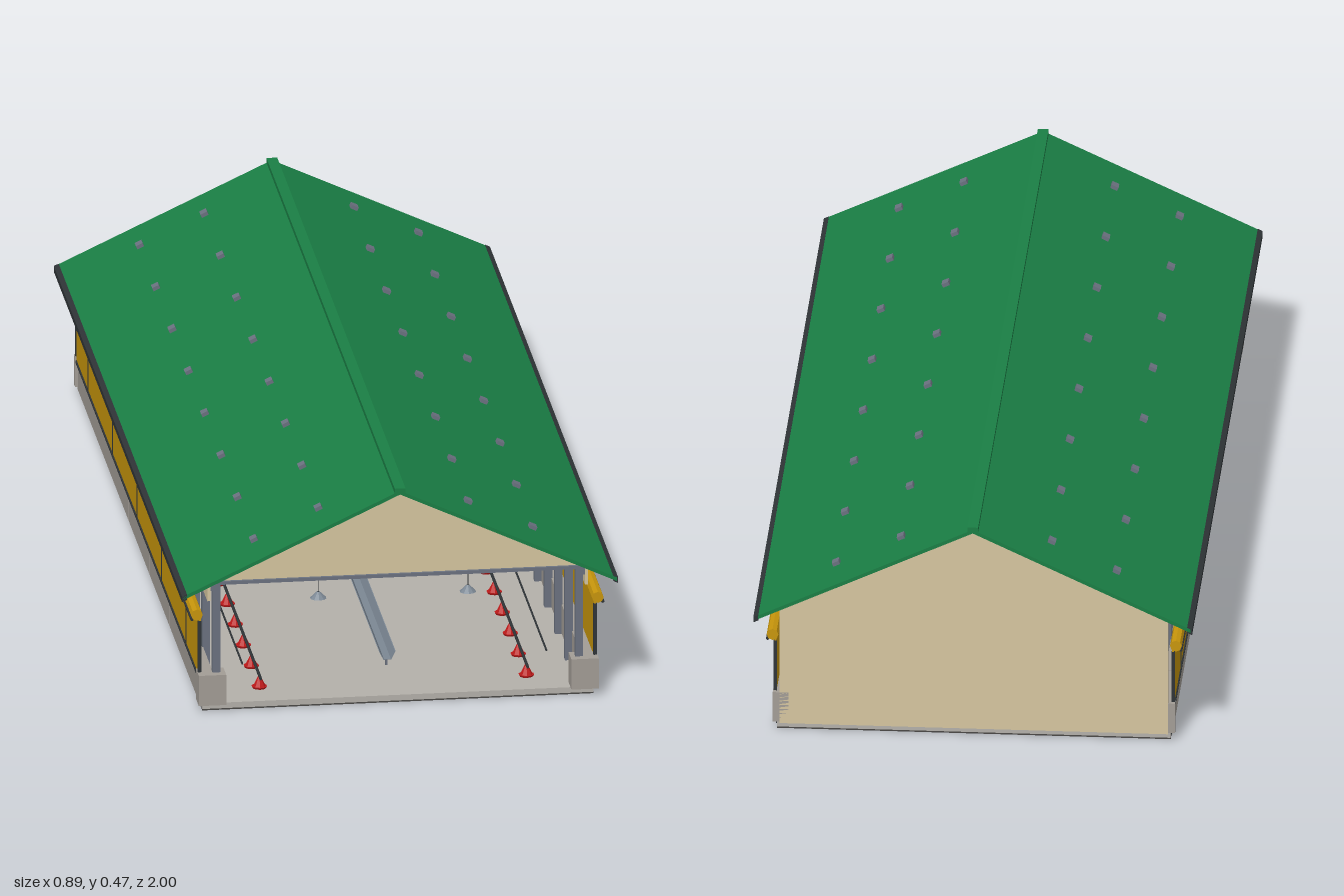
import * as THREE from 'three';

const mat = (color, side = THREE.FrontSide) => new THREE.MeshStandardMaterial({ color, side, flatShading: true });
const M = {
  roof: mat(0x1a7f45), curtain: mat(0xc8960c), panel: mat(0xd6c6a0), concrete: mat(0xa39d96),
  floor: mat(0xb4b0aa), base: mat(0x4a4846), steel: mat(0x6b7280), dark: mat(0x2f3437), red: mat(0xc01a1a),
  lamp: mat(0x7c8894, THREE.DoubleSide), trough: mat(0x7c8894, THREE.DoubleSide),
};

export function createModel() {
  const root = new THREE.Group();
  root.name = 'barn';

  const add = (name, geo, m, parent = root) => {
    const mesh = new THREE.Mesh(geo, m);
    mesh.name = name;
    parent.add(mesh);
    return mesh;
  };
  // box given by its limits
  const box = (name, x0, x1, y0, y1, z0, z1, m, parent) => {
    const mesh = add(name, new THREE.BoxGeometry(x1 - x0, y1 - y0, z1 - z0), m, parent);
    mesh.position.set((x0 + x1) / 2, (y0 + y1) / 2, (z0 + z1) / 2);
    return mesh;
  };
  // closed profile in x, y pushed from z0 to z1
  const prism = (name, pts, z0, z1, m, parent) => {
    const shape = new THREE.Shape(pts.map(p => new THREE.Vector2(...p)));
    const geo = new THREE.ExtrudeGeometry(shape, { depth: z1 - z0, bevelEnabled: false });
    geo.translate(0, 0, z0);
    return add(name, geo, m, parent);
  };
  // rod along z
  const rod = (name, x, y, r, z0, z1, m, sides = 8, parent = root) => {
    const mesh = add(name, new THREE.CylinderGeometry(r, r, z1 - z0, sides), m, parent);
    mesh.rotation.x = Math.PI / 2;
    mesh.position.set(x, y, (z0 + z1) / 2);
    return mesh;
  };
  const group = name => {
    const g = new THREE.Group();
    g.name = name;
    root.add(g);
    return g;
  };
  const slope = 0.467;
  const roofY = x => 0.467 - slope * Math.abs(x);

  // floor slab
  box('floorSlab', -0.4, 0.4, 0.003, 0.015, -0.965, 0.965, M.floor);
  box('slabBase', -0.4, 0.4, 0, 0.003, -0.965, 0.965, M.base);

  // gable walls
  prism('backWall', [[-0.395, 0.012], [0.395, 0.012], [0.395, 0.268], [0, 0.45], [-0.395, 0.268]], -0.968, -0.955, M.panel);
  prism('frontGable', [[-0.375, 0.273], [0.375, 0.273], [0, 0.448]], 0.945, 0.957, M.panel);

  // steel frames: posts, chord and rafters
  const frames = group('frames');
  for (let i = 0; i < 13; i++) {
    const z = 0.955 - i * 0.159, a = z - 0.008, b = z + 0.008;
    for (const s of [-1, 1]) {
      box('post', s * 0.371 - 0.008, s * 0.371 + 0.008, 0.015, 0.272, a, b, M.steel, frames);
      const pts = [[0, 0.456], [s * 0.385, 0.276], [s * 0.385, 0.269], [0, 0.448]];
      prism('rafter', pts, a, b, M.steel, frames);
    }
    box('bottomChord', -0.383, 0.383, 0.268, 0.275, a, b, M.steel, frames);
  }

  for (const s of [-1, 1]) {
    const side = group(s > 0 ? 'leftSide' : 'rightSide');
    const sbox = (name, x0, x1, y0, y1, z0, z1, m) =>
      box(name, Math.min(s * x0, s * x1), Math.max(s * x0, s * x1), y0, y1, z0, z1, m, side);

    // low concrete wall in panels, with a pier at the front
    for (let i = 0; i < 12; i++) {
      const z = 0.96 - i * 0.16;
      sbox('wallPanel', 0.377, 0.403, 0.008, 0.078, z - 0.1585, z, M.concrete);
    }
    sbox('wallJoints', 0.38, 0.4025, 0.008, 0.077, -0.96, 0.96, M.dark);
    sbox('frontPier', 0.353, 0.409, 0.015, 0.08, 0.935, 0.98, M.concrete);
    sbox('backPier', 0.377, 0.409, 0.015, 0.08, -0.968, -0.95, M.concrete);

    // panel under the eave
    sbox('eavePanel', 0.383, 0.389, 0.233, 0.272, -0.96, 0.96, M.panel);
    sbox('eaveBeam', 0.374, 0.384, 0.255, 0.277, -0.96, 0.96, M.steel);

    // roll-up curtain, its roller and straps
    sbox('curtain', 0.402, 0.406, 0.07, 0.205, -0.957, 0.957, M.curtain);
    rod('curtainRoller', s * 0.41, 0.203, 0.012, -0.957, 0.957, M.curtain, 8, side);
    rod('bottomRod', s * 0.405, 0.07, 0.004, -0.957, 0.957, M.dark, 6, side);
    rod('topRod', s * 0.42, 0.194, 0.0035, -0.957, 0.957, M.dark, 6, side);
    for (let i = -2; i <= 2; i++) {
      const z = i * 0.382;
      sbox('strap', 0.405, 0.4075, 0.07, 0.2, z - 0.0025, z + 0.0025, M.dark);
      sbox('rollerBracket', 0.396, 0.424, 0.19, 0.217, z - 0.005, z + 0.005, M.dark);
    }
    for (const z of [-0.955, 0.955])
      sbox('curtainEnd', 0.401, 0.408, 0.075, 0.19, z - 0.003, z + 0.003, M.dark);

    // roof sheet with trim and purlins
    const sheet = (name, x0, x1, top, bottom, z0, z1, m) => prism(name, [
      [s * x0, roofY(x0) + top], [s * x1, roofY(x1) + top],
      [s * x1, roofY(x1) + bottom], [s * x0, roofY(x0) + bottom],
    ], z0, z1, m, side);
    sheet('roofSheet', 0, 0.443, 0, -0.008, -1, 1, M.roof);
    sheet('eaveTrim', 0.436, 0.446, 0.001, -0.011, -1, 1, M.dark);
    for (const x of [0.02, 0.1, 0.18, 0.26, 0.34, 0.39])
      sheet('purlin', x, x + 0.012, -0.007, -0.014, -0.96, 0.96, M.steel);

    // small roof vents
    for (let i = 0; i < 8; i++) {
      for (const x of [0.153, 0.285]) {
        const vent = add('roofVent', new THREE.BoxGeometry(0.015, 0.01, 0.02), M.steel, side);
        vent.position.set(s * x, roofY(x) + 0.003, -0.889 + i * 0.254);
        vent.rotation.z = -s * Math.atan(slope);
      }
    }

    // feeder line with red cones
    rod('feedPipe', s * 0.273, 0.042, 0.003, -0.93, 0.91, M.dark, 6, side);
    for (let i = 0; i < 15; i++) {
      const z = 0.885 - i * 0.125;
      const cone = add('feederCone', new THREE.CylinderGeometry(0.003, 0.014, 0.022, 8), M.red, side);
      cone.position.set(s * 0.273, 0.028, z);
      const pan = add('feederPan', new THREE.CylinderGeometry(0.016, 0.014, 0.004, 10), M.red, side);
      pan.position.set(s * 0.273, 0.017, z);
    }
    rod('waterPipe', s * 0.311, 0.077, 0.002, -0.93, 0.91, M.dark, 6, side);

    // hanging lamps
    for (let i = 0; i < 8; i++) {
      const z = 0.889 - i * 0.254;
      const cord = add('lampCord', new THREE.CylinderGeometry(0.001, 0.001, 0.055, 5), M.dark, side);
      cord.position.set(s * 0.153, 0.243, z);
      const shade = add('lampShade', new THREE.CylinderGeometry(0.003, 0.017, 0.014, 10, 1, true), M.lamp, side);
      shade.position.set(s * 0.153, 0.211, z);
      const bulb = add('lampBulb', new THREE.SphereGeometry(0.004, 6, 4), M.panel, side);
      bulb.position.set(s * 0.153, 0.205, z);
    }
  }

  // ridge cap
  prism('ridgeCap', [[-0.011, 0.459], [0.011, 0.459], [0.011, 0.472], [-0.011, 0.472]], -1, 1, M.roof);

  // central trough on short legs
  const trough = group('trough');
  const t = [[-0.017, 0.05], [-0.008, 0.032], [0.008, 0.032], [0.017, 0.05], [0.0155, 0.05], [0.007, 0.0335], [-0.007, 0.0335], [-0.0155, 0.05]];
  prism('troughChannel', t, -0.8, 0.8, M.trough, trough);
  for (let i = 0; i < 9; i++) {
    const z = 0.78 - i * 0.195;
    box('troughLeg', -0.002, 0.002, 0.015, 0.033, z - 0.004, z + 0.004, M.steel, trough);
  }

  return root;
}
